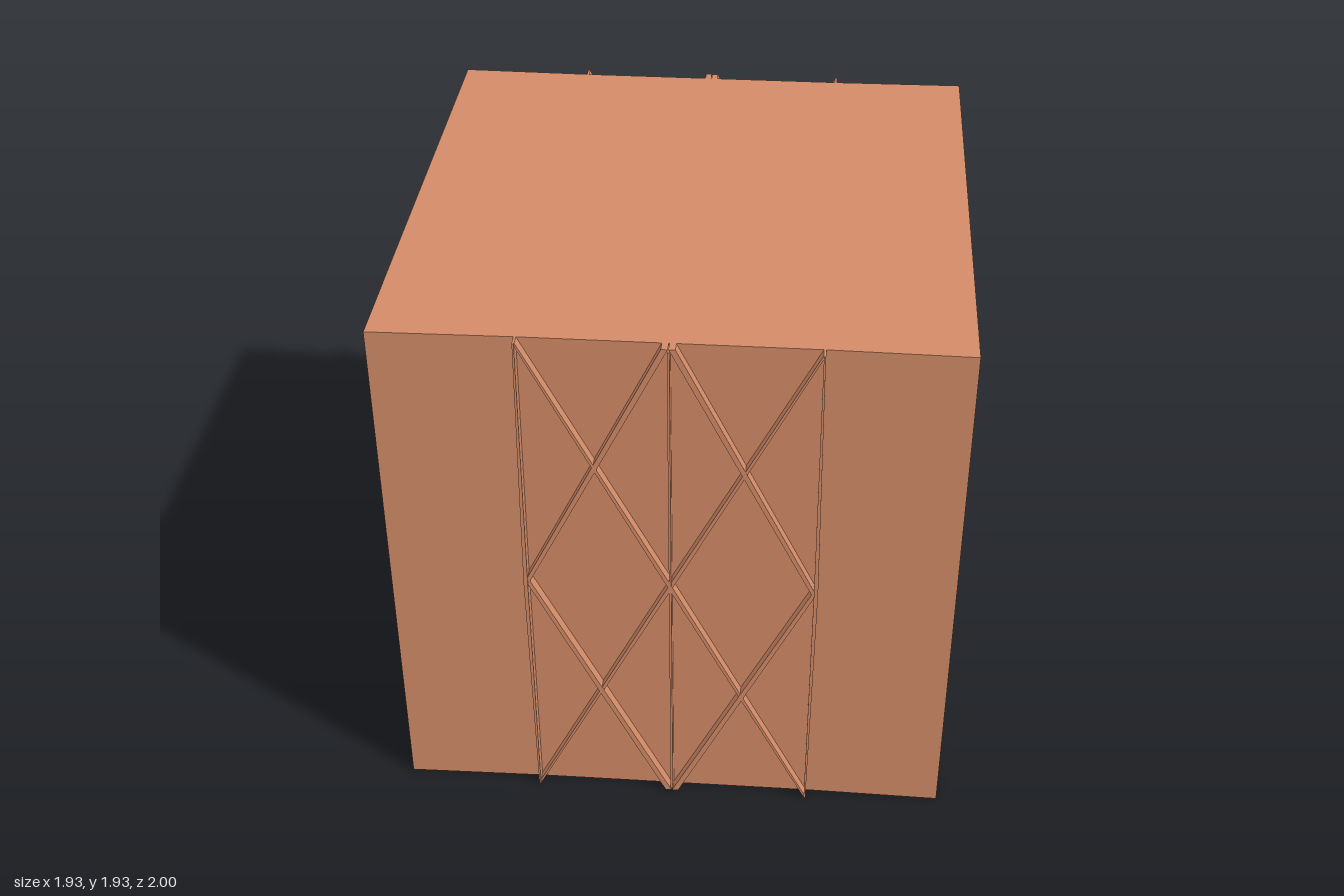
import * as THREE from 'three';

const Y0 = 0.01, Y1 = 1.94, MID = 0.976;
const HALF = 0.967, SIDE = 0.487;

export function createModel() {
  const group = new THREE.Group();
  group.name = 'latticedCrate';
  const material = new THREE.MeshStandardMaterial({ color: 0xd48c68, flatShading: true });

  // Cube body: plan outline with faintly hollowed front and back
  const half = [[-HALF, -0.966], [-0.48, -0.958], [0.48, -0.958], [HALF, -0.966]];
  const plan = [...half, ...half.map(([x, z]) => [-x, -z])];
  const bodyGeometry = new THREE.ExtrudeGeometry(
    new THREE.Shape(plan.map(([x, z]) => new THREE.Vector2(x, z))),
    { depth: Y1 - Y0, bevelEnabled: false }
  );
  bodyGeometry.rotateX(-Math.PI / 2);
  bodyGeometry.translate(0, Y0, 0);
  const body = new THREE.Mesh(bodyGeometry, material);
  body.name = 'body';
  group.add(body);

  // Thin raised rib with level ends; h1 and h2 are half widths at its ends
  function rib(name, x1, y1, h1, x2, y2, h2, top) {
    const shape = new THREE.Shape([
      new THREE.Vector2(x1 - h1, y1), new THREE.Vector2(x1 + h1, y1),
      new THREE.Vector2(x2 + h2, y2), new THREE.Vector2(x2 - h2, y2),
    ]);
    const geometry = new THREE.ExtrudeGeometry(shape, { depth: top - 0.95, bevelEnabled: false });
    geometry.translate(0, 0, 0.95);
    const mesh = new THREE.Mesh(geometry, material);
    mesh.name = name;
    return mesh;
  }

  // Lattice of uprights and diamond diagonals
  function lattice(name) {
    const g = new THREE.Group();
    g.name = name;
    g.add(rib('centreUpright', 0, Y0 + 0.01, 0.004, 0, Y1 - 0.01, 0.004, 0.998));
    for (const s of [-1, 1]) {
      for (const y of [Y0, Y1]) {
        const lower = y === Y0;
        const add = (label, xa, ha, xb, hb, top) => g.add(lower
          ? rib(label, xa, y, ha, xb, MID, hb, top)
          : rib(label, xb, MID, hb, xa, y, ha, top));
        add('sideUpright', s * SIDE, 0.003, s * 0.494, 0.007, 1);
        add('outerDiagonal', s * SIDE, 0.004, 0, 0.008, 0.995);
        add('innerDiagonal', s * 0.012, 0.011, s * SIDE, 0.008, 0.996);
      }
    }
    return g;
  }

  const front = lattice('frontLattice');
  const back = lattice('backLattice');
  back.rotation.y = Math.PI;
  group.add(front, back);
  return group;
}
